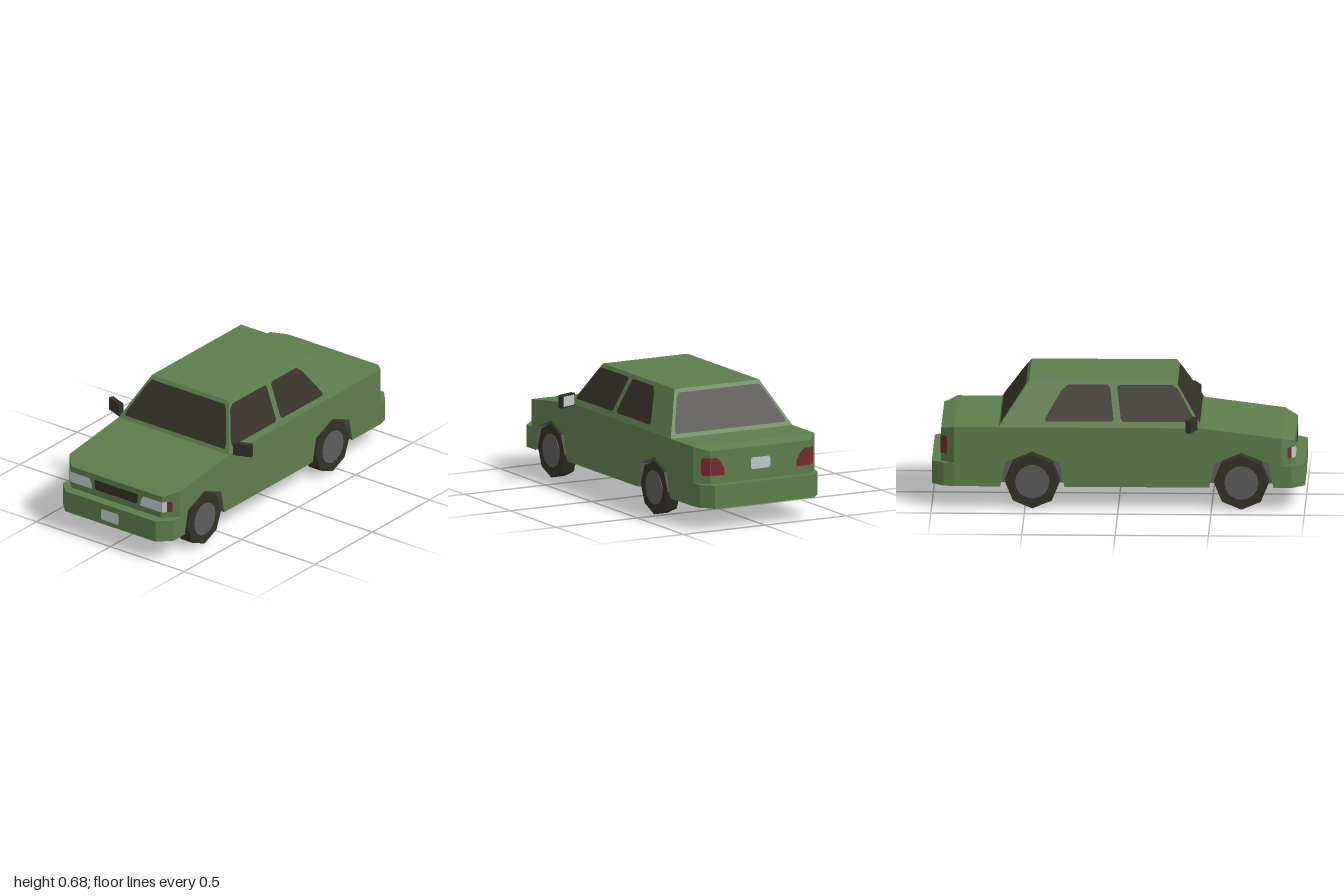
import * as THREE from 'three';

const material = (name, color) => {
  const m = new THREE.MeshStandardMaterial({ color });
  m.name = name;
  return m;
};
const paint = material('green paint', 0x5c7d4a);
const dark = material('dark rubber and glass', 0x343026);
const grey = material('grey metal', 0x5c5c5c);
const lamp = material('pale lamp', 0xbccace);
const red = material('red lamp', 0x78262e);

const CENTRE = [0, 0.2, 0];
const AXLES = [0.66, -0.46];
const W = 0.375, N = 0.305, BELT = 0.445, FLOOR = 0.12, ROOF = 0.677, WELL = 0.27;
// Wheel arch outline as [z offset, y]
const ARCH = [[0.172, FLOOR], [0.145, 0.253], [0, 0.312], [-0.145, 0.253], [-0.172, FLOOR]];

// Convex faces turned away from (or, inward, toward) a centre, optionally lifted off the surface
function faces(name, mat, polygons, { centre = CENTRE, inward = false, lift = 0 } = {}) {
  const c = new THREE.Vector3(...centre);
  const out = [];
  for (const polygon of polygons) {
    const p = polygon.map((q) => new THREE.Vector3(...q));
    const n = p[1].clone().sub(p[0]).cross(p[2].clone().sub(p[0])).normalize();
    if ((n.dot(p[0].clone().sub(c)) < 0) !== inward) {
      p.reverse();
      n.negate();
    }
    p.forEach((v) => v.addScaledVector(n, lift));
    for (let i = 1; i < p.length - 1; i++) {
      for (const v of [p[0], p[i], p[i + 1]]) out.push(v.x, v.y, v.z);
    }
  }
  const g = new THREE.BufferGeometry();
  g.setAttribute('position', new THREE.Float32BufferAttribute(out, 3));
  g.computeVertexNormals();
  return named(name, g, mat);
}

function named(name, geometry, mat) {
  const mesh = new THREE.Mesh(geometry, mat);
  mesh.name = name;
  return mesh;
}

const mirror = (polygon) => polygon.map(([x, y, z]) => [-x, y, z]);
const both = (polygons) => [...polygons, ...polygons.map(mirror)];
// Symmetric polygon from its left half
const across = (half) => [...half, ...mirror(half).reverse()];
const shape = (points) => new THREE.ShapeGeometry(new THREE.Shape(points.map(([x, y]) => new THREE.Vector2(x, y))));

// Surface positions for painted details
const noseZ = (x) => 0.945 - Math.max(0, x - N);
const tailZ = (x) => -0.95 + Math.max(0, x - N);
const screenZ = (y) => BELT - (y - BELT) * 0.625;
const rearScreenZ = (y) => -0.64 + (y - BELT) * 0.69;
const cabinX = (y) => W - (y - BELT) * 0.496;

export function createModel() {
  const car = new THREE.Group();
  car.name = 'saloon car';

  // Flat body sides with wheel arches cut out
  const notches = [...AXLES].reverse().flatMap((a) => [...ARCH].reverse().map(([z, y]) => [a + z, y]));
  const profile = [
    [0.93, FLOOR], [0.93, 0.24], [0.875, 0.24], [0.875, 0.39], [BELT, BELT],
    [-0.88, BELT], [-0.88, FLOOR], ...notches,
  ];
  for (const s of [1, -1]) {
    const g = shape(profile.map(([z, y]) => [-s * z, y]));
    g.rotateY(s * Math.PI / 2).translate(s * W, 0, 0);
    car.add(named('bodySide', g, paint));
  }

  // Bonnet, nose, boot and tail
  car.add(faces('bonnet', paint, [
    across([[W, BELT, BELT], [W, 0.39, 0.875]]),
    across([[W, 0.39, 0.875], [N, 0.365, 0.945]]),
  ]));
  car.add(faces('nose', paint, [
    across([[N, 0.24, 0.945], [N, 0.365, 0.945]]),
    ...both([[[N, 0.24, 0.945], [N, 0.365, 0.945], [W, 0.39, 0.875], [W, 0.24, 0.875]]]),
  ]));
  car.add(faces('boot', paint, [
    across([[W, BELT, -0.64], [W, BELT, -0.88]]),
    across([[W, BELT, -0.88], [N, 0.425, -0.95]]),
  ]));
  car.add(faces('tail', paint, [
    across([[N, 0.245, -0.95], [N, 0.425, -0.95]]),
    ...both([[[N, 0.245, -0.95], [N, 0.425, -0.95], [W, BELT, -0.88], [W, 0.245, -0.88]]]),
  ]));

  // Bumpers: upright walls and narrow top ledges
  const wall = ([x0, z0], [x1, z1], top) => [[x0, FLOOR, z0], [x1, FLOOR, z1], [x1, top, z1], [x0, top, z0]];
  car.add(faces('frontBumper', paint, [
    wall([-N, 1], [N, 1], 0.24),
    across([[N, 0.24, 1], [N, 0.24, 0.945]]),
    ...both([
      wall([N, 1], [W, 0.93], 0.24),
      [[N, 0.24, 1], [W, 0.24, 0.93], [W, 0.24, 0.875], [N, 0.24, 0.945]],
    ]),
  ]));
  car.add(faces('rearBumper', paint, [
    wall([-N, -1], [N, -1], 0.245),
    across([[N, 0.245, -1], [N, 0.245, -0.95]]),
    ...both([
      wall([N, -1], [0.362, -0.935], 0.245),
      wall([0.362, -0.935], [W, -0.88], 0.245),
      [[N, 0.245, -1], [0.362, 0.245, -0.935], [W, 0.245, -0.88], [N, 0.245, -0.95]],
    ]),
  ]));

  // Underside with openings for the wheels
  const openings = [...AXLES].flatMap((a) => [[W, a + 0.172], [WELL, a + 0.172], [WELL, a - 0.172], [W, a - 0.172]]);
  const half = [[N, 1], [W, 0.93], ...openings, [W, -0.88], [0.362, -0.935], [N, -1]];
  const floor = shape([...half, ...half.map(([x, z]) => [-x, z]).reverse()]);
  floor.rotateX(Math.PI / 2).translate(0, FLOOR, 0);
  car.add(named('underside', floor, grey));

  // Cabin shell
  const roofX = cabinX(ROOF), roofF = screenZ(ROOF), roofR = rearScreenZ(ROOF);
  car.add(faces('cabin', paint, [
    across([[roofX, ROOF, roofF], [roofX, ROOF, roofR]]),
    across([[W, BELT, BELT], [roofX, ROOF, roofF]]),
    across([[W, BELT, -0.64], [roofX, ROOF, roofR]]),
    ...both([[[W, BELT, BELT], [roofX, ROOF, roofF], [roofX, ROOF, roofR], [W, BELT, -0.64]]]),
  ]));

  // Windows
  const pane = [[0.338, 0.463], [0.336, 0.485], [0.264, 0.637], [0.245, 0.657]];
  const onSide = (points) => points.map(([z, y]) => [cabinX(y), y, z]);
  const lift = { lift: 0.004 };
  car.add(faces('windscreen', dark, [across(pane.map(([x, y]) => [x, y, screenZ(y)]))], lift));
  car.add(faces('rearWindow', dark, [across(pane.map(([x, y]) => [x, y, rearScreenZ(y)]))], lift));
  car.add(faces('frontSideWindows', dark, both([onSide([
    [0.405, 0.475], [0.4, 0.5], [0.318, 0.637], [0.288, 0.657], [0, 0.657], [-0.008, 0.645], [0.014, 0.485], [0.026, 0.475],
  ])]), lift));
  car.add(faces('rearSideWindows', dark, both([onSide([
    [-0.025, 0.485], [-0.046, 0.645], [-0.058, 0.657], [-0.27, 0.657], [-0.305, 0.63], [-0.392, 0.488], [-0.388, 0.475], [-0.036, 0.475],
  ])]), lift));

  // Lamps, grille and blank plates
  const onNose = (points) => points.map(([x, y]) => [x, y, noseZ(x)]);
  const onTail = (points) => points.map(([x, y]) => [x, y, tailZ(x)]);
  const plate = (y, z) => across([[0.05, y - 0.032, z], [0.06, y - 0.024, z], [0.06, y + 0.024, z], [0.05, y + 0.032, z]]);
  car.add(faces('headlamps', lamp, both([
    onNose([[N, 0.275], [N, 0.335], [0.183, 0.335], [0.166, 0.305], [0.162, 0.275]]),
    onNose([[N, 0.275], [N, 0.335], [0.325, 0.335], [0.325, 0.275]]),
  ]), lift));
  car.add(faces('frontMarkers', red, both([
    onNose([[0.325, 0.275], [0.325, 0.335], [0.342, 0.335], [0.347, 0.325], [0.347, 0.285], [0.342, 0.275]]),
  ]), lift));
  car.add(faces('grille', dark, [
    across(onNose([[0.135, 0.278], [0.143, 0.29], [0.148, 0.325], [0.143, 0.335]])),
  ], lift));
  car.add(faces('tailLamps', red, both([
    onTail([[N, 0.29], [N, 0.387], [0.27, 0.387], [0.245, 0.365], [0.223, 0.325], [0.22, 0.29]]),
    onTail([[N, 0.29], [N, 0.387], [0.335, 0.387], [0.341, 0.375], [0.341, 0.3], [0.335, 0.29]]),
  ]), lift));
  car.add(faces('frontPlate', lamp, [plate(0.178, 1)], lift));
  car.add(faces('rearPlate', lamp, [plate(0.335, -0.95)], lift));

  for (const s of [1, -1]) {
    for (const a of AXLES) {
      // Wheel well lining
      const strips = ARCH.slice(1).map(([z, y], i) => {
        const [pz, py] = ARCH[i];
        return [[s * W, py, a + pz], [s * W, y, a + z], [s * WELL, y, a + z], [s * WELL, py, a + pz]];
      });
      const inner = ARCH.map(([z, y]) => [s * WELL, y, a + z]);
      car.add(faces('wheelWell', grey, [...strips, inner], { centre: [s * 0.33, 0.15, a], inward: true }));

      // Eight-sided tyre with a round hub
      const wheel = new THREE.Group();
      wheel.name = 'wheel';
      const tyre = new THREE.CylinderGeometry(0.147, 0.147, 0.08, 8).toNonIndexed();
      tyre.computeVertexNormals();
      const hub = new THREE.CylinderGeometry(0.092, 0.092, 0.008, 16);
      wheel.add(named('tyre', tyre.rotateZ(Math.PI / 2), dark));
      wheel.add(named('hub', hub.rotateZ(Math.PI / 2).translate(s * 0.039, 0, 0), grey));
      wheel.position.set(s * 0.335, 0.147, a);
      car.add(wheel);
    }

    // Door mirror, glass facing back
    const doorMirror = new THREE.Group();
    doorMirror.name = 'doorMirror';
    doorMirror.add(named('mirrorShell', new THREE.BoxGeometry(0.105, 0.07, 0.028), dark));
    const glass = named('mirrorGlass', new THREE.BoxGeometry(0.088, 0.054, 0.006), lamp);
    glass.position.z = -0.014;
    doorMirror.add(glass);
    doorMirror.position.set(s * 0.43, 0.475, 0.394);
    doorMirror.rotation.y = s * 0.36;
    car.add(doorMirror);
  }
  return car;
}
